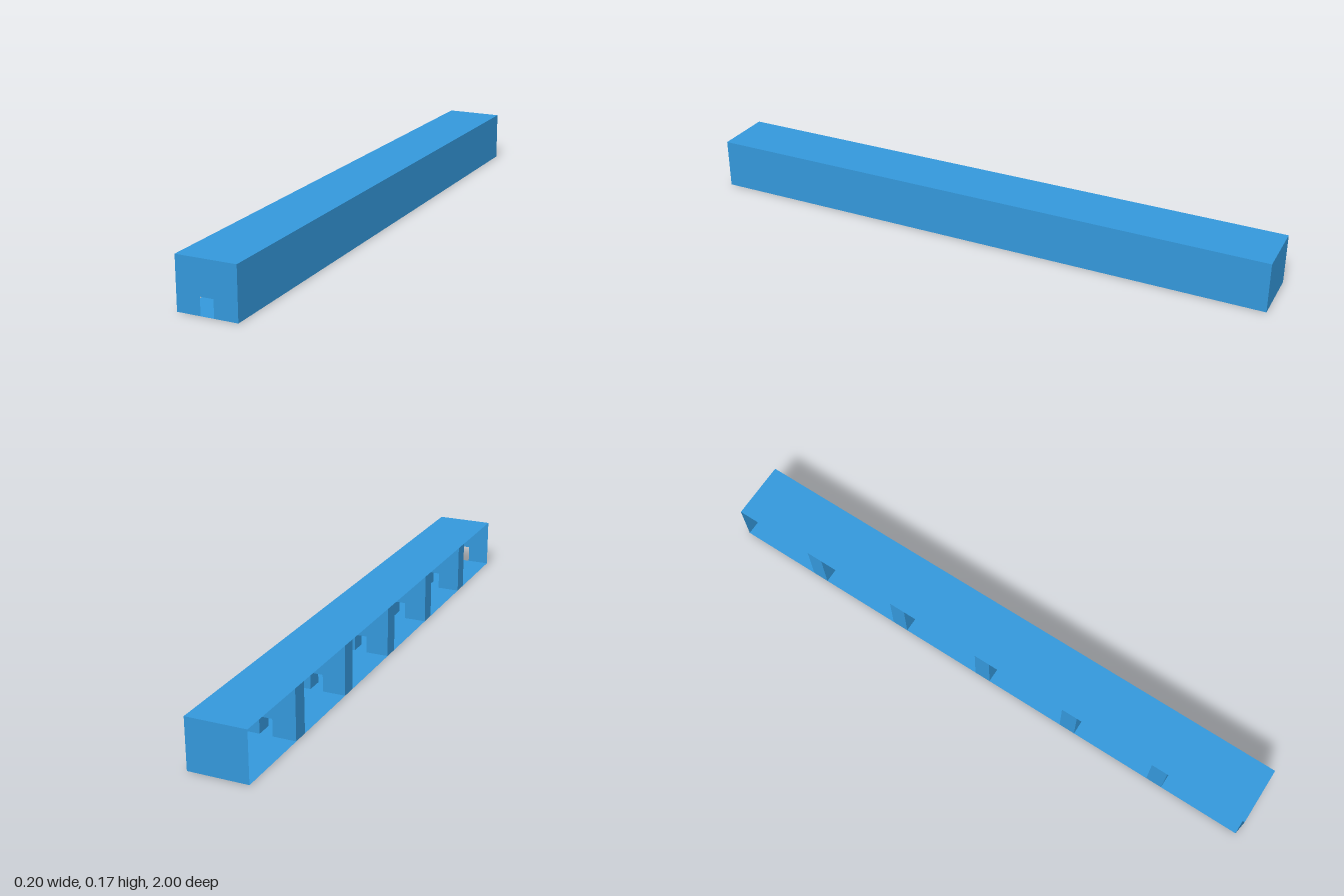
import * as THREE from 'three';

const U = 2 / 35; // one wall thickness
const W = 3.5 * U, H = 3 * U, L = 2; // overall width, height, length
const ROOM = 5 * U, ROOMS = 6;
const DOOR_W = 0.044, DOOR_H = 0.058;

// Wall outline with a doorway cut up from the floor
function doorWallShape() {
  const w = W / 2, d = DOOR_W / 2;
  return new THREE.Shape([
    [-w, 0], [-d, 0], [-d, DOOR_H], [d, DOOR_H], [d, 0], [w, 0], [w, H], [-w, H],
  ].map(([x, y]) => new THREE.Vector2(x, y)));
}

export function createModel() {
  const group = new THREE.Group();
  const blue = new THREE.MeshStandardMaterial({ color: 0x3498db, side: THREE.DoubleSide });
  blue.name = 'blue';

  const add = (name, geometry, x, y, z, rx = 0, ry = 0) => {
    const mesh = new THREE.Mesh(geometry, blue);
    mesh.name = name;
    mesh.position.set(x, y, z);
    mesh.rotation.set(rx, ry, 0);
    group.add(mesh);
  };

  // Thin outer shell, open along the right side (-x)
  add('floor', new THREE.PlaneGeometry(W, L), 0, 0, 0, Math.PI / 2);
  add('roof', new THREE.PlaneGeometry(W, L), 0, H, 0, -Math.PI / 2);
  add('leftWall', new THREE.PlaneGeometry(L, H), W / 2, H / 2, 0, 0, Math.PI / 2);
  add('backWall', new THREE.PlaneGeometry(W, H), 0, H / 2, -L / 2, 0, Math.PI);
  add('frontWall', new THREE.ShapeGeometry(doorWallShape()), 0, 0, L / 2);

  // Thick partitions with aligned doorways between the rooms
  const partition = new THREE.ExtrudeGeometry(doorWallShape(), { depth: U, bevelEnabled: false });
  for (let i = 1; i < ROOMS; i++) {
    add(`partition${i}`, partition, 0, 0, -L / 2 + i * ROOM + (i - 1) * U);
  }
  return group;
}
